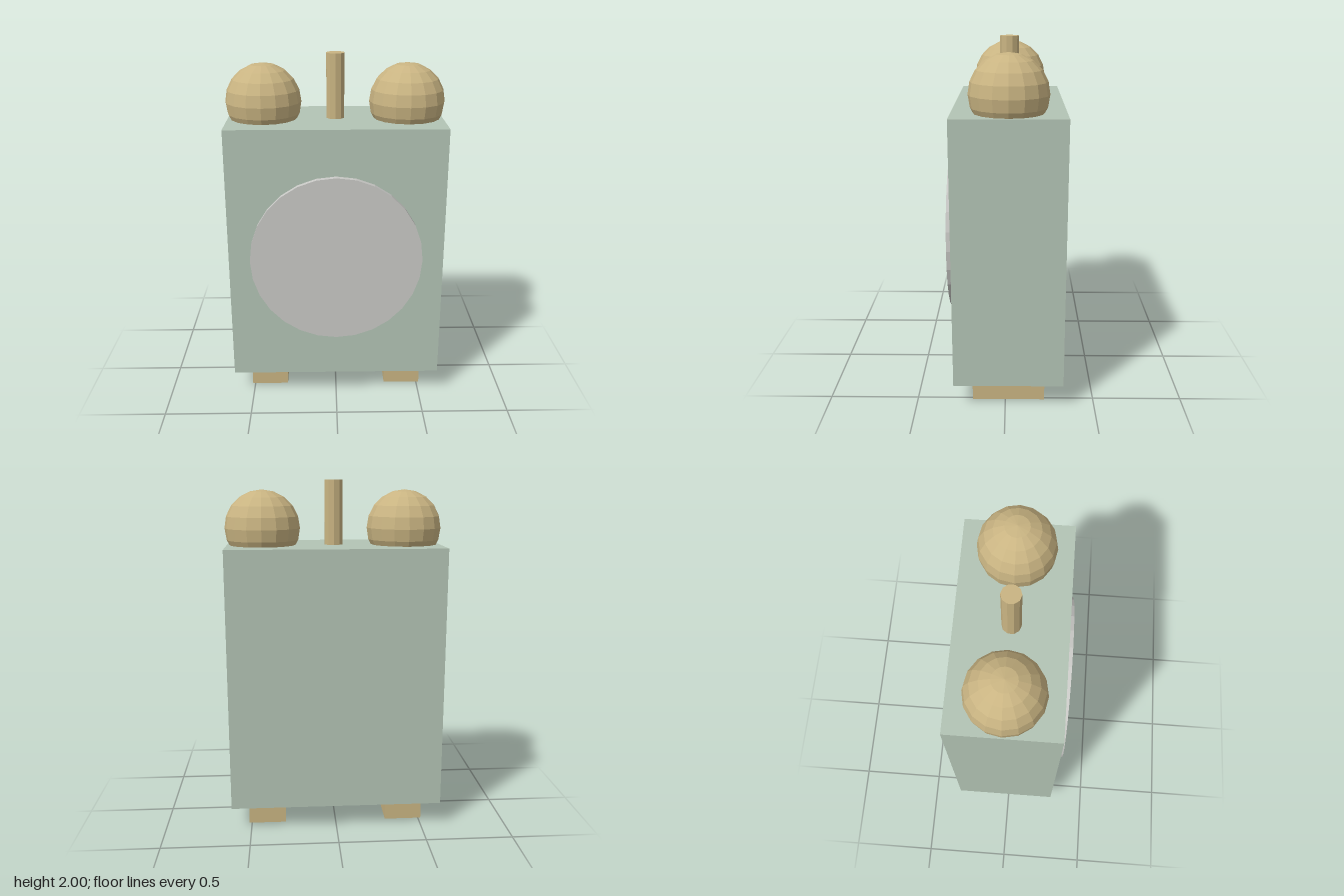
import * as THREE from 'three';

export function createModel() {
  const model = new THREE.Group();
  const paint = (name, color) => {
    const m = new THREE.MeshStandardMaterial({ color, flatShading: true });
    m.name = name;
    return m;
  };
  const green = paint('sage green', 0xb3c4b5);
  const brass = paint('brass', 0xc9b482);
  const pale = paint('pale grey', 0xc9c9c6);

  const add = (name, geometry, material, x, y, z) => {
    const mesh = new THREE.Mesh(geometry, material);
    mesh.name = name;
    mesh.position.set(x, y, z);
    model.add(mesh);
    return mesh;
  };

  // Case and round face
  add('case', new THREE.BoxGeometry(1.222, 1.494, 0.612), green, 0, 0.888, -0.018);
  add('dial', new THREE.CylinderGeometry(0.488, 0.488, 0.034, 28).rotateX(Math.PI / 2),
    pale, 0, 0.887, 0.305);

  // Central post, standing on the case
  add('post', new THREE.CylinderGeometry(0.053, 0.053, 0.375, 10), brass, 0, 1.8125, -0.018);

  // Paired bells and feet
  for (const [side, s] of [['left', 1], ['right', -1]]) {
    add(side + 'Bell', new THREE.SphereGeometry(0.215, 16, 10), brass, s * 0.407, 1.73, -0.018);
    add(side + 'Foot', new THREE.BoxGeometry(0.217, 0.15, 0.408), brass, s * 0.407, 0.075, -0.018);
  }
  return model;
}
